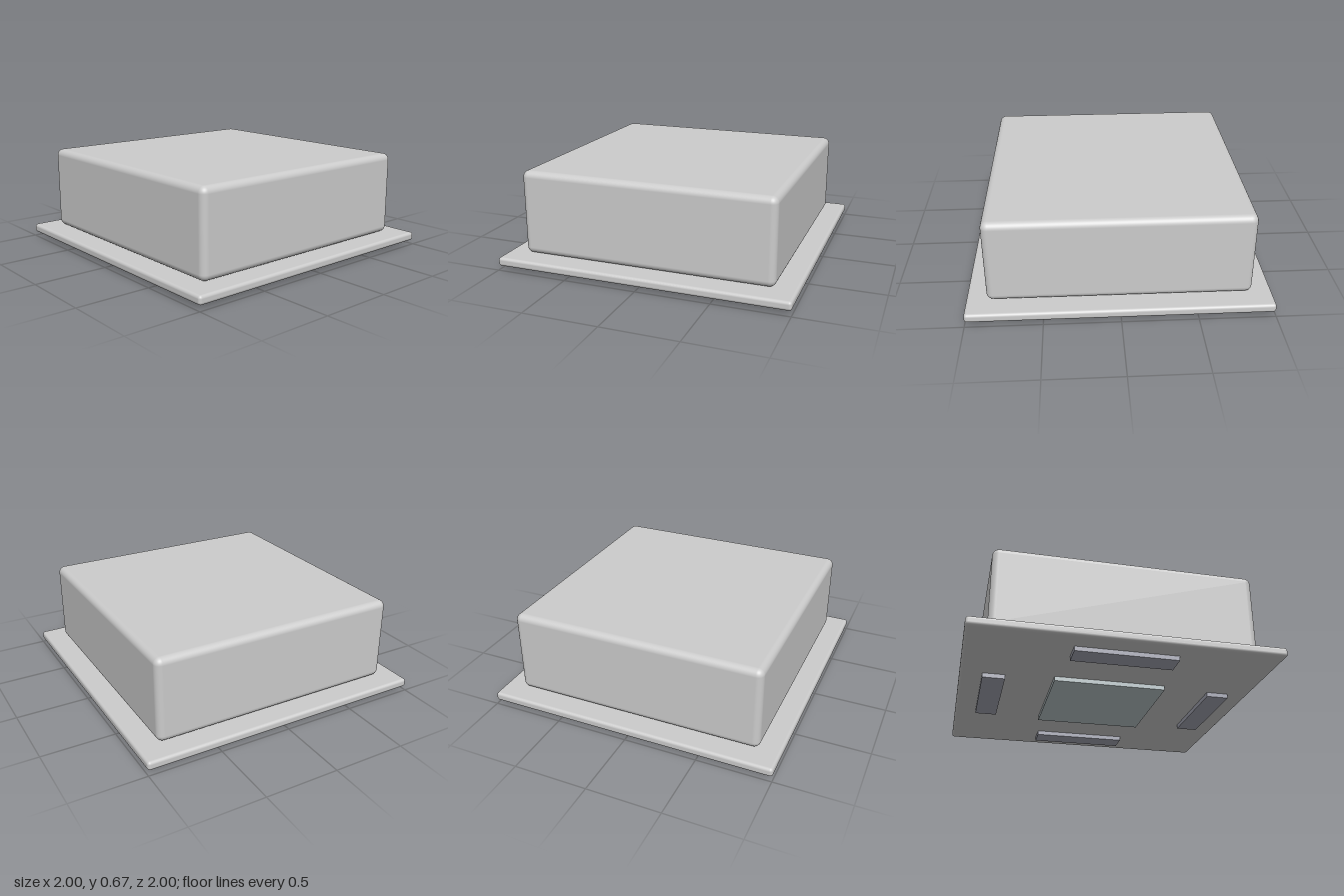
import * as THREE from 'three';
import { RoundedBoxGeometry } from 'three/addons/geometries/RoundedBoxGeometry.js';

const grey = new THREE.MeshStandardMaterial({ color: 0xcccccc });
const slotGrey = new THREE.MeshStandardMaterial({ color: 0xa3a5b2 });
const panelGrey = new THREE.MeshStandardMaterial({ color: 0xb8c4c7 });

function add(parent, name, geometry, material, x, y, z) {
  const mesh = new THREE.Mesh(geometry, material);
  mesh.name = name;
  mesh.position.set(x, y, z);
  parent.add(mesh);
  return mesh;
}

export function createModel() {
  const model = new THREE.Group();
  model.name = 'ceilingCassetteUnit';

  // Main housing and the wider face plate beneath it
  add(model, 'housing', new RoundedBoxGeometry(1.73, 0.576, 1.73, 5, 0.045), grey, 0, 0.381, 0);
  add(model, 'facePlate', new RoundedBoxGeometry(2, 0.06, 2, 4, 0.02), grey, 0, 0.06, 0);

  // Square intake panel in the middle of the underside
  add(model, 'intakePanel', new THREE.BoxGeometry(0.76, 0.04, 0.76), panelGrey, 0, 0.02, 0);

  // Four air outlets, one along each edge of the underside
  const outlet = new THREE.BoxGeometry(0.67, 0.04, 0.15);
  ['front', 'left', 'back', 'right'].forEach((side, i) => {
    const angle = i * Math.PI / 2;
    const mesh = add(model, side + 'Outlet', outlet, slotGrey,
      Math.sin(angle) * 0.777, 0.02, Math.cos(angle) * 0.777);
    mesh.rotation.y = angle;
  });

  return model;
}
